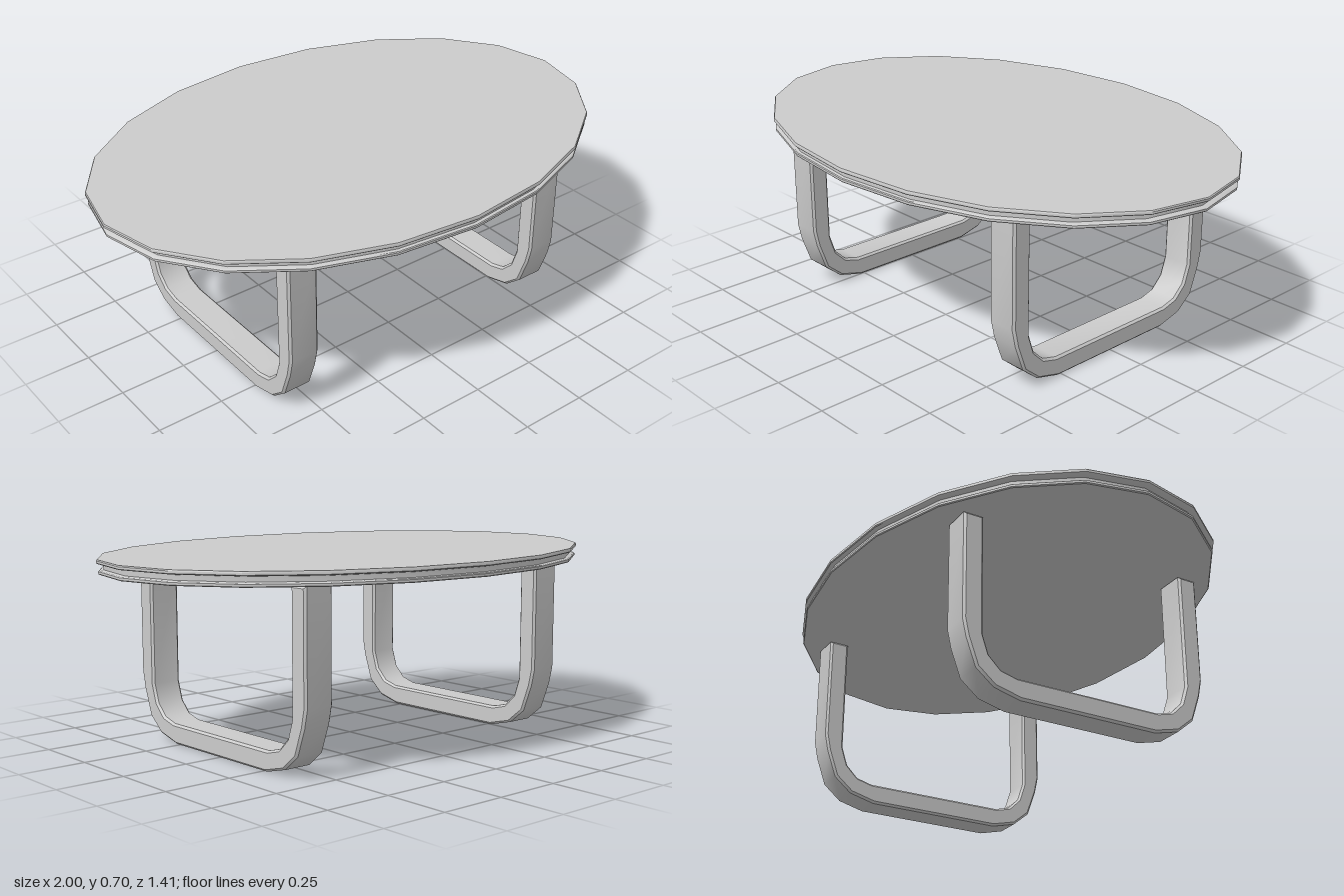
import * as THREE from 'three';
import { toCreasedNormals } from 'three/addons/utils/BufferGeometryUtils.js';

const material = new THREE.MeshStandardMaterial({ color: 0xcccccc });

function addPart(parent, geometry, name) {
  const mesh = new THREE.Mesh(toCreasedNormals(geometry, 0.6), material);
  mesh.name = name;
  parent.add(mesh);
  return mesh;
}

// Oval top: a 20-sided turned disc with a groove around its rim
function tabletopGeometry() {
  const profile = [
    [0, 0.65], [0.989, 0.65], [0.993, 0.653], [0.993, 0.661], [0.989, 0.664],
    [0.973, 0.666], [0.973, 0.684],
    [0.996, 0.687], [1, 0.69], [1, 0.698], [0.997, 0.702], [0, 0.702],
  ].map(([r, y]) => new THREE.Vector2(r, y));
  return new THREE.LatheGeometry(profile, 20).scale(1, 1, 0.703);
}

// U-shaped sled leg: half outlines mirrored in z, extruded along x
function legGeometry(width, bevel) {
  const outer = [[0.48, 0.65], [0.48, 0.25], [0.466, 0.185], [0.43, 0.085], [0.364, 0.03], [0.266, 0.005]];
  const inner = [[0.277, 0.08], [0.338, 0.096], [0.383, 0.14], [0.406, 0.21], [0.406, 0.65]];
  const mirror = (points) => points.map(([z, y]) => [-z, y]).reverse();
  const outline = [...outer, ...mirror(outer), ...mirror(inner), ...inner];
  const shape = new THREE.Shape(outline.map(([z, y]) => new THREE.Vector2(z, y)));
  const depth = width - 2 * bevel;
  return new THREE.ExtrudeGeometry(shape, {
    depth, bevelEnabled: true, bevelSegments: 1,
    bevelSize: bevel, bevelThickness: bevel, bevelOffset: -bevel,
  }).translate(0, 0, -depth / 2).rotateY(-Math.PI / 2).translate(0, -0.005, 0);
}

export function createModel() {
  const table = new THREE.Group();
  table.name = 'ovalTable';
  addPart(table, tabletopGeometry(), 'tabletop');
  for (const side of [-1, 1]) {
    const leg = addPart(table, legGeometry(0.118, 0.008), side > 0 ? 'leftLeg' : 'rightLeg');
    leg.position.x = side * 0.553;
  }
  return table;
}
